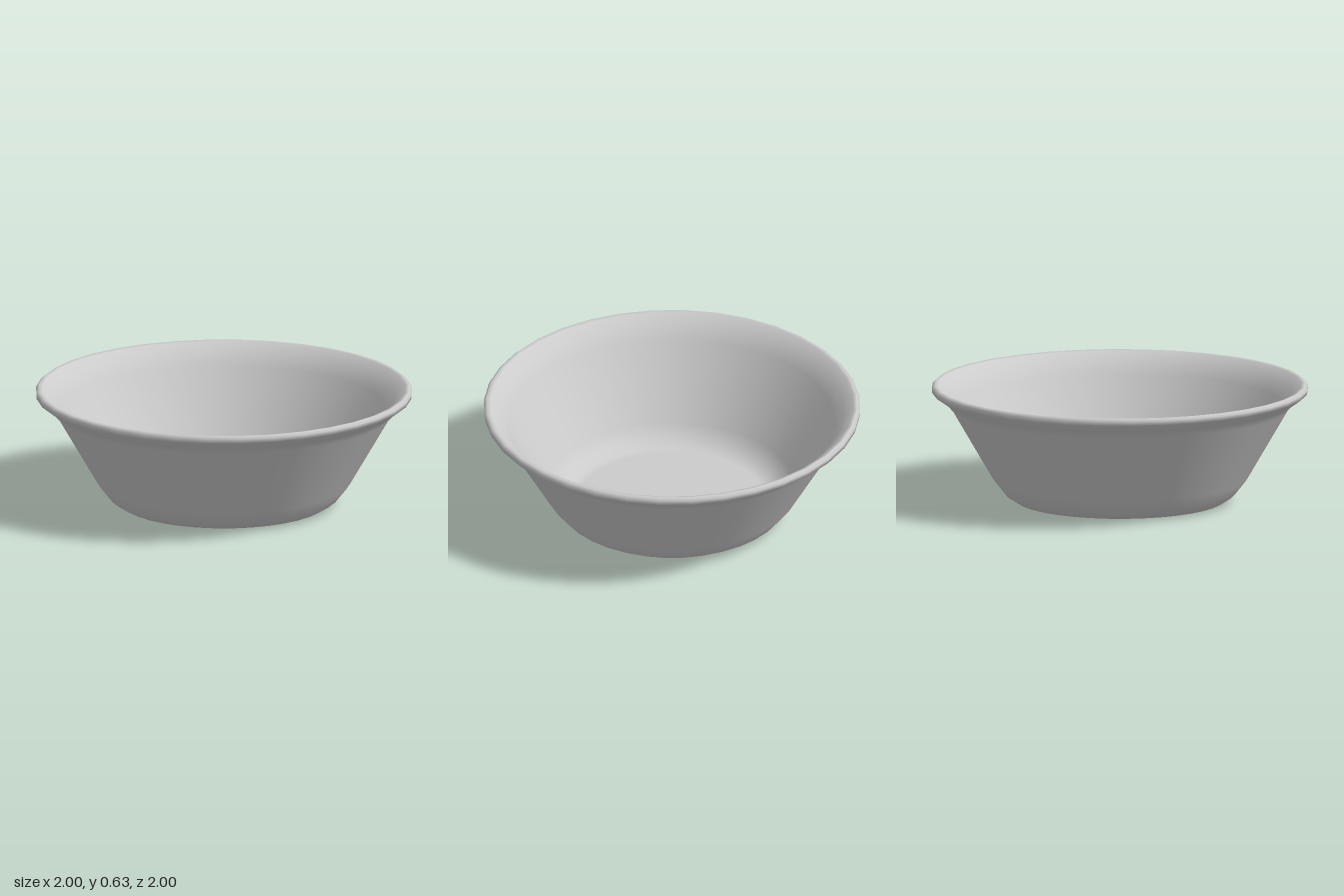
import * as THREE from 'three';

// Closed bowl profile [radius, height]: under the base, up the outside, over the rim, down the inside
const PROFILE = [
  [0, 0], [0.53, 0], [0.555, 0.003], [0.61, 0.038], [0.675, 0.12],
  [0.895, 0.5], [0.935, 0.543], [0.998, 0.588],
  [1, 0.612], [0.985, 0.626], [0.965, 0.622],
  [0.91, 0.573], [0.868, 0.512], [0.645, 0.128], [0.6, 0.065], [0.54, 0.035], [0.5, 0.033], [0, 0.033],
];

export function createModel() {
  const group = new THREE.Group();
  group.name = 'bowl';

  // Flared basin with a turned-out lip
  const points = PROFILE.map(([r, y]) => new THREE.Vector2(r, y));
  const basin = new THREE.Mesh(
    new THREE.LatheGeometry(points, 36),
    new THREE.MeshStandardMaterial({ color: 0xcccccc }),
  );
  basin.name = 'basin';
  group.add(basin);

  return group;
}
